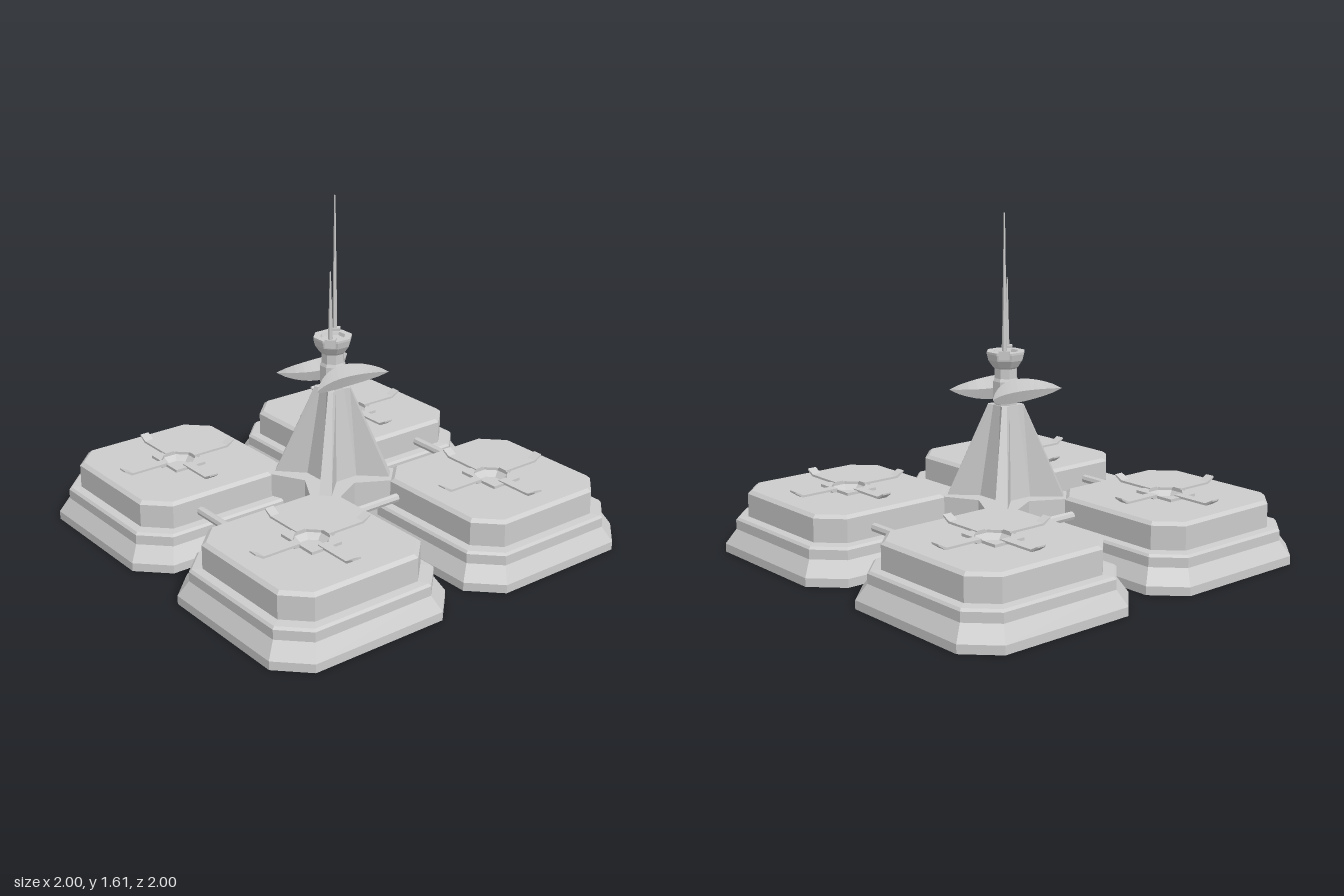
import * as THREE from 'three';

const mat = new THREE.MeshStandardMaterial({ color: 0xcccccc, flatShading: true, side: THREE.DoubleSide });

function add(parent, geometry, name, x = 0, y = 0, z = 0) {
  const mesh = new THREE.Mesh(geometry, mat);
  mesh.name = name;
  mesh.position.set(x, y, z);
  parent.add(mesh);
  return mesh;
}

// Repeats a quarter outline around the y axis
function fourfold(quarter) {
  const out = [];
  for (let k = 0, q = quarter; k < 4; k++, q = q.map(([x, z]) => [-z, x])) out.push(...q);
  return out;
}

// Square of half width h with corners cut by c
const cutSquare = (h, c) => fourfold([[h, h - c], [h - c, h]]);

// Joins horizontal outlines [y, points] into a faceted skin
function loft(sections, capTop = true) {
  const v = [];
  for (let s = 0; s < sections.length - 1; s++) {
    const [y0, a] = sections[s], [y1, b] = sections[s + 1];
    for (let i = 0; i < a.length; i++) {
      const j = (i + 1) % a.length;
      const p = [a[i][0], y0, a[i][1]], q = [a[j][0], y0, a[j][1]];
      const r = [b[i][0], y1, b[i][1]], t = [b[j][0], y1, b[j][1]];
      v.push(...p, ...r, ...q, ...q, ...r, ...t);
    }
  }
  if (capTop) {
    const [y, a] = sections[sections.length - 1];
    a.forEach((p, i) => {
      const q = a[(i + 1) % a.length];
      v.push(0, y, 0, q[0], y, q[1], p[0], y, p[1]);
    });
  }
  const g = new THREE.BufferGeometry();
  g.setAttribute('position', new THREE.Float32BufferAttribute(v, 3));
  g.computeVertexNormals();
  return g;
}

// Curved lens-shaped blade with a diamond section, bowed away at its tips
function bladeGeometry() {
  const n = 12, rows = [];
  for (let i = 0; i <= n; i++) {
    const t = (i / n) * 2 - 1, k = 1 - t * t;
    const h = 0.056 * Math.pow(k, 0.8), d = 0.02 * k, z = 0.07 + 0.085 * t * t, x = 0.21 * t;
    rows.push([[x, h, z], [x, 0, z + d], [x, -h, z], [x, 0, z - d]]);
  }
  const v = [];
  for (let i = 0; i < n; i++) for (let k = 0; k < 4; k++) {
    const a = rows[i][k], b = rows[i][(k + 1) % 4], c = rows[i + 1][k], d = rows[i + 1][(k + 1) % 4];
    v.push(...a, ...b, ...c, ...b, ...d, ...c);
  }
  const g = new THREE.BufferGeometry();
  g.setAttribute('position', new THREE.Float32BufferAttribute(v, 3));
  g.computeVertexNormals();
  return g;
}

// Eight-sided turned part with flats facing the axes
function octLathe(profile) {
  const g = new THREE.LatheGeometry(profile.map(([r, y]) => new THREE.Vector2(r / Math.cos(Math.PI / 8), y)), 8);
  return g.rotateY(Math.PI / 8);
}

function createPod() {
  const pod = new THREE.Group();
  // Stepped shell, open below, running in to the octagonal recess of the roof
  add(pod, loft([
    [0, cutSquare(0.473, 0.135)], [0.04, cutSquare(0.473, 0.135)],
    [0.11, cutSquare(0.43, 0.122)], [0.155, cutSquare(0.43, 0.122)],
    [0.166, cutSquare(0.42, 0.118)], [0.17, cutSquare(0.382, 0.108)],
    [0.28, cutSquare(0.382, 0.108)], [0.295, cutSquare(0.365, 0.1)],
    [0.295, cutSquare(0.077, 0.045)], [0.27, cutSquare(0.053, 0.031)],
  ]), 'podShell');

  // Hub block around the recess
  const hub = new THREE.Shape([[-0.081, -0.11], [0.081, -0.11], [0.081, 0.11], [-0.081, 0.11]].map(p => new THREE.Vector2(...p)));
  hub.holes.push(new THREE.Path(cutSquare(0.077, 0.045).map(p => new THREE.Vector2(...p))));
  const hubGeo = new THREE.ExtrudeGeometry(hub, { depth: 0.08, bevelEnabled: false }).rotateX(-Math.PI / 2);
  add(pod, hubGeo, 'roofHub', 0, 0.228, 0);

  // Cross arms with upturned tips
  const arm = new THREE.Shape([[0.077, 0.29], [0.077, 0.313], [0.265, 0.313], [0.308, 0.335], [0.308, 0.328], [0.27, 0.303], [0.11, 0.303], [0.1, 0.29]]
    .map(p => new THREE.Vector2(...p)));
  const armGeo = new THREE.ExtrudeGeometry(arm, { depth: 0.046, bevelEnabled: false }).translate(0, 0, -0.023);
  for (let k = 0; k < 4; k++) add(pod, armGeo, 'roofArm').rotation.y = k * Math.PI / 2;
  return pod;
}

export function createModel() {
  const model = new THREE.Group();
  model.name = 'baseStation';

  // Four pods
  for (const sx of [-1, 1]) for (const sz of [-1, 1]) {
    const pod = createPod();
    pod.name = 'pod';
    pod.position.set(sx * 0.527, 0, sz * 0.527);
    model.add(pod);
  }

  // Connecting pipes
  const pipe = new THREE.CylinderGeometry(0.021, 0.021, 0.32, 8);
  for (const s of [-1, 1]) {
    add(model, pipe, 'crossPipe', 0, 0.215, s * 0.3).rotation.z = Math.PI / 2;
    add(model, pipe, 'sidePipe', s * 0.653, 0.215, 0).rotation.x = Math.PI / 2;
  }

  // Star-shaped core filling the space between the pods
  const star = fourfold([[0.165, 0], [0.25, 0.155], [0.155, 0.25]]);
  add(model, loft([[0, star], [0.282, star]]), 'core');

  // Tapering four-ribbed tower
  const ribbed = (w, d, a, b) => fourfold([[d, -w], [d, w], [a, b], [b, a]]);
  add(model, loft([[0.28, ribbed(0.06, 0.105, 0.213, 0.172)], [0.715, ribbed(0.024, 0.055, 0.066, 0.05)]]), 'tower');

  // Neck, collar and flared head
  add(model, octLathe([
    [0, 0.71], [0.05, 0.71], [0.05, 0.735], [0.056, 0.745], [0.056, 0.825], [0.05, 0.84], [0.05, 0.885],
    [0.058, 0.893], [0.078, 0.925], [0.085, 0.955], [0.085, 0.965], [0.055, 0.965], [0.05, 0.95], [0, 0.95],
  ]), 'neckAndHead');

  // Curved blades in front and behind
  const blade = bladeGeometry();
  for (const turn of [0, Math.PI]) add(model, blade, 'blade', 0, 0.785, 0).rotation.y = turn;

  // Antennas on small mounts
  for (const [x, z, top] of [[0.057, -0.057, 1.605], [-0.06, 0.06, 1.295]]) {
    const h = top - 0.94;
    add(model, new THREE.CylinderGeometry(0.003, 0.012, h, 6), 'antenna', x, 0.94 + h / 2, z);
    add(model, new THREE.BoxGeometry(0.035, 0.04, 0.05), 'antennaMount', x, 0.957, z).rotation.y = Math.PI / 4;
  }
  return model;
}
